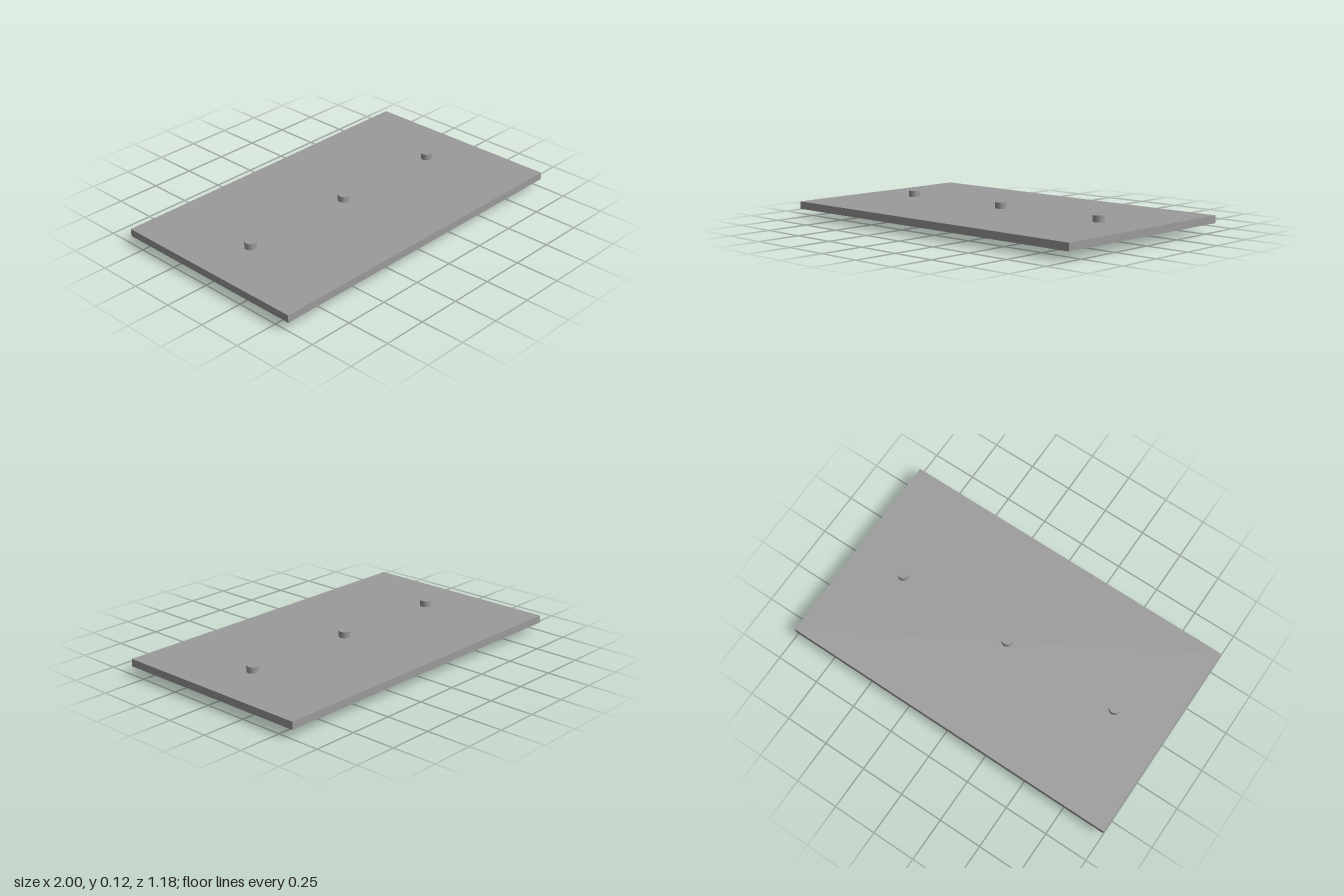
import * as THREE from 'three';

const material = new THREE.MeshStandardMaterial({ color: 0x9b9b9b });

export function createModel() {
  const model = new THREE.Group();

  const add = (name, geometry, x, y) => {
    const mesh = new THREE.Mesh(geometry, material);
    mesh.name = name;
    mesh.position.set(x, y, 0);
    model.add(mesh);
  };

  // Flat slab
  add('plate', new THREE.BoxGeometry(2, 0.042, 1.18), 0, 0.069);

  // Two pads the slab rests on
  const pad = new THREE.BoxGeometry(0.3, 0.048, 0.51);
  add('leftPad', pad, 0.507, 0.024);
  add('rightPad', pad, -0.501, 0.024);

  // Row of three short pegs on top
  const peg = new THREE.CylinderGeometry(0.032, 0.032, 0.035, 16);
  add('leftPeg', peg, 0.692, 0.1075);
  add('middlePeg', peg, 0, 0.1075);
  add('rightPeg', peg, -0.692, 0.1075);

  return model;
}
